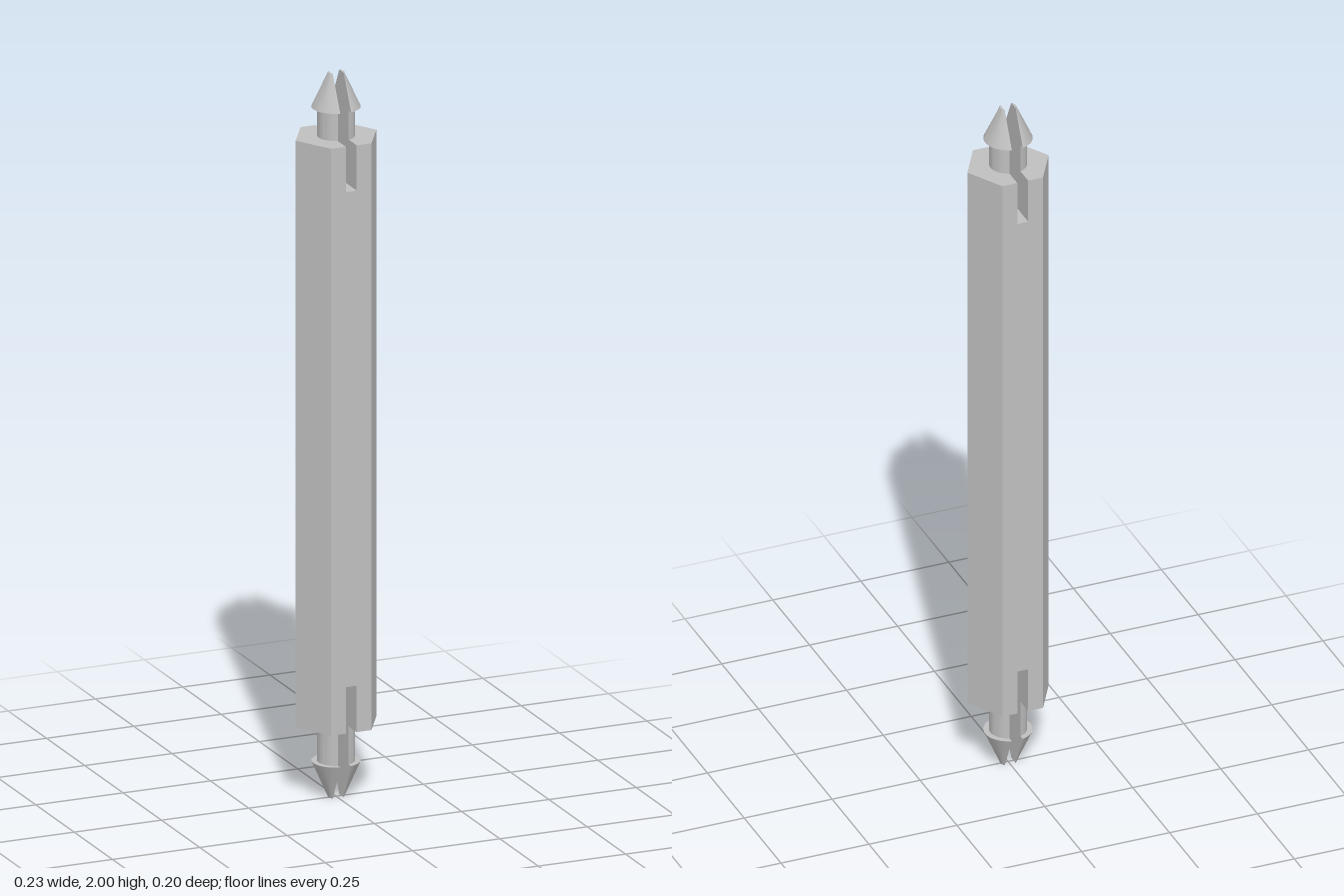
import * as THREE from 'three';
import { toCreasedNormals } from 'three/addons/utils/BufferGeometryUtils.js';

const SLOT = 0.0155;                    // half width of the end slots
const APOTHEM = 0.1;                    // hexagon flat distance
const RADIUS = APOTHEM * 2 / Math.sqrt(3);
const BOTTOM = 0.205, TOP = 1.825;      // ends of the hexagonal body
const SLOT_LOW = 0.333, SLOT_HIGH = 1.7;

// Hexagonal bar: a slotted outline extruded front to back, its sides pulled out to a ridge
function bodyGeometry() {
  const w = RADIUS;
  const outline = [
    [-w, BOTTOM], [-SLOT, BOTTOM], [-SLOT, SLOT_LOW], [SLOT, SLOT_LOW], [SLOT, BOTTOM], [w, BOTTOM],
    [w, TOP], [SLOT, TOP], [SLOT, SLOT_HIGH], [-SLOT, SLOT_HIGH], [-SLOT, TOP], [-w, TOP],
  ].map(([x, y]) => new THREE.Vector2(x, y));
  const geo = new THREE.ExtrudeGeometry(new THREE.Shape(outline), {
    depth: 2 * APOTHEM, steps: 2, bevelEnabled: false,
  });
  geo.translate(0, 0, -APOTHEM);
  const p = geo.attributes.position;
  for (let i = 0; i < p.count; i++) {
    const x = p.getX(i);
    if (Math.abs(x) > 2 * SLOT) p.setX(i, Math.sign(x) * (RADIUS - Math.abs(p.getZ(i)) / Math.sqrt(3)));
  }
  geo.computeVertexNormals();
  return geo;
}

// Half of a split snap pin: D-shaped sections lofted upwards from y = 0
function prongGeometry(postLength, headLength) {
  const rows = [
    [0, 0.05], [postLength, 0.05], [postLength, 0.065], [postLength + headLength, 0.0215],
  ];
  const n = 24, pos = [], idx = [];
  for (const [y, r] of rows) {
    const a = Math.acos(SLOT / r);
    for (let i = 0; i <= n; i++) {
      const t = -a + 2 * a * i / n;
      pos.push(r * Math.cos(t), y, -r * Math.sin(t));
    }
  }
  const m = n + 1;
  for (let k = 0; k < rows.length - 1; k++) {
    const flatRing = rows[k][0] === rows[k + 1][0];
    for (let i = 0; i < m; i++) {
      if (flatRing && i === n) continue;
      const j = (i + 1) % m, a = k * m, b = a + m;
      idx.push(a + i, a + j, b + j, a + i, b + j, b + i);
    }
  }
  const tip = (rows.length - 1) * m;
  for (let i = 1; i < n; i++) idx.push(tip, tip + i, tip + i + 1);
  const geo = new THREE.BufferGeometry();
  geo.setAttribute('position', new THREE.Float32BufferAttribute(pos, 3));
  geo.setIndex(idx);
  return toCreasedNormals(geo, 0.5);
}

export function createModel() {
  const grey = new THREE.MeshStandardMaterial({ color: 0xbfbfbf });
  grey.name = 'plain grey';
  const model = new THREE.Group();
  model.name = 'hexagonalSpacer';

  const body = new THREE.Mesh(bodyGeometry(), grey);
  body.name = 'hexBody';
  model.add(body);

  // Split snap pin at each end, made of two mirrored prongs
  function addPin(name, y, postLength, headLength, flipped) {
    const pin = new THREE.Group();
    pin.name = name;
    const geo = prongGeometry(postLength, headLength);
    ['leftProng', 'rightProng'].forEach((prongName, i) => {
      const prong = new THREE.Mesh(geo, grey);
      prong.name = prongName;
      prong.rotation.y = i * Math.PI;
      pin.add(prong);
    });
    pin.position.y = y;
    if (flipped) pin.rotation.x = Math.PI;
    model.add(pin);
  }
  addPin('topPin', TOP, 0.08, 0.095, false);
  addPin('bottomPin', BOTTOM, 0.105, 0.1, true);
  return model;
}
